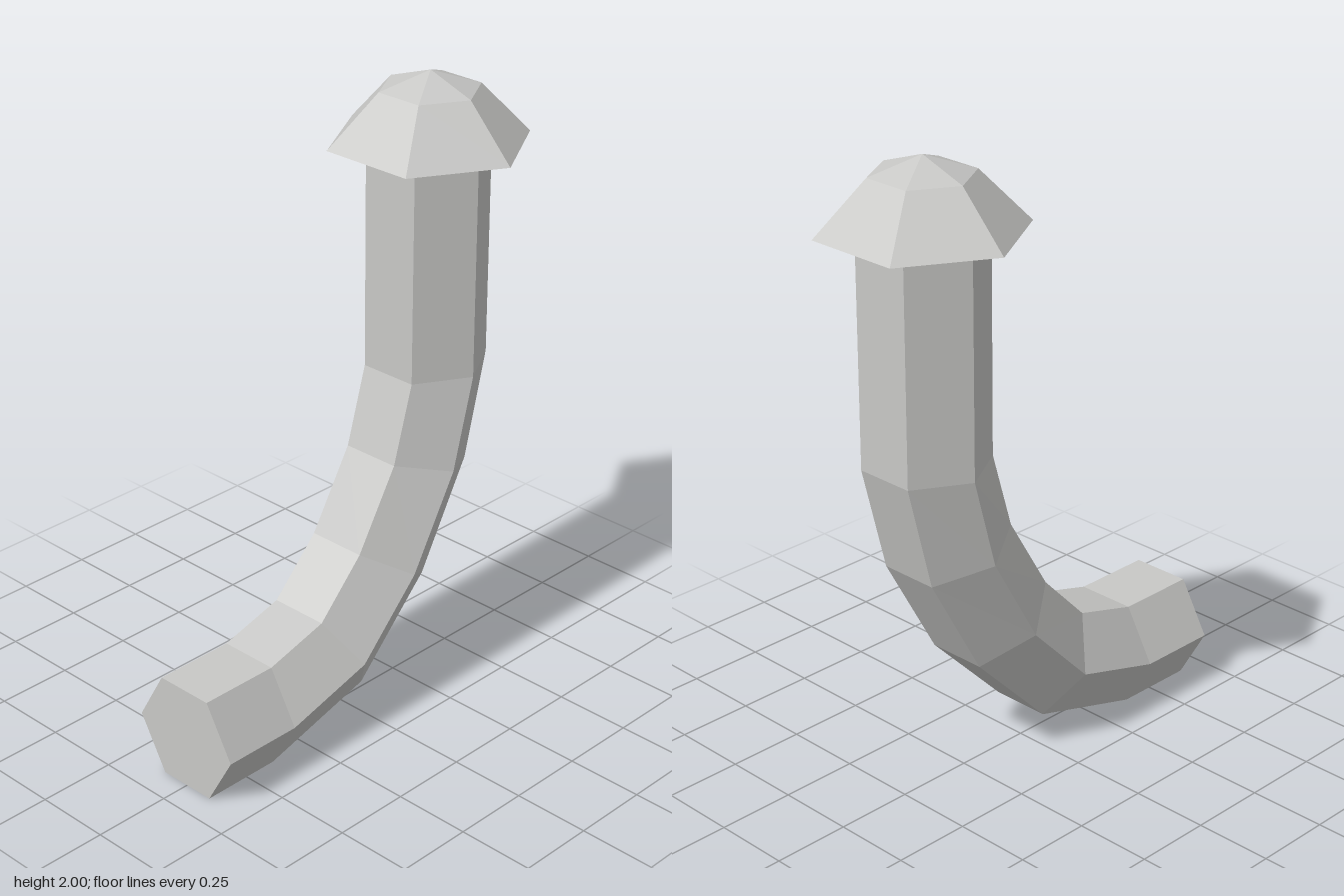
import * as THREE from 'three';

const metal = new THREE.MeshStandardMaterial({ color: 0xc8c8c6 });
metal.name = 'light grey metal';
const metalSheet = new THREE.MeshStandardMaterial({ color: 0xc8c8c6, side: THREE.DoubleSide });
metalSheet.name = 'light grey sheet metal';

const R = 0.195;        // pipe corner radius
const AXIS = 0.383;     // x of the vertical pipe
const PIPE_TOP = 1.755; // foot of the vent notches

// Flat-shaded mesh from a list of triangles and convex polygons
function facetMesh(name, polygons) {
  const pts = [];
  for (const p of polygons) {
    for (let i = 1; i < p.length - 1; i++) pts.push(p[0], p[i], p[i + 1]);
  }
  const geo = new THREE.BufferGeometry().setFromPoints(pts);
  geo.computeVertexNormals();
  const mesh = new THREE.Mesh(geo, metal);
  mesh.name = name;
  return mesh;
}

// Hexagonal pipe swept round the bend
function buildPipe() {
  // each station: outer x, y and inner x, y of the bend
  const stations = [
    [-0.655, 0, -0.655, 0.34],
    [-0.39, 0, -0.39, 0.34],
    [0, 0.11, -0.175, 0.4],
    [0.275, 0.39, -0.01, 0.57],
    [0.465, 0.73, 0.14, 0.82],
    [0.552, 1.07, 0.214, 1.07],
    [0.552, PIPE_TOP, 0.214, PIPE_TOP],
  ];
  const rings = stations.map(([ox, oy, ix, iy]) => {
    const ring = [];
    for (let k = 0; k < 6; k++) {
      const a = (k * Math.PI) / 3;
      const t = 0.5 + Math.sin(a) / Math.sqrt(3);
      ring.push(new THREE.Vector3(ox + (ix - ox) * t, oy + (iy - oy) * t, R * Math.cos(a)));
    }
    return ring;
  });
  const faces = [rings[0], [...rings[rings.length - 1]].reverse()];
  for (let i = 0; i < rings.length - 1; i++) {
    for (let k = 0; k < 6; k++) {
      const n = (k + 1) % 6;
      faces.push([rings[i][k], rings[i + 1][k], rings[i + 1][n], rings[i][n]]);
    }
  }
  return facetMesh('pipe', faces);
}

// Pointed prongs at the pipe corners, leaving V-shaped vents under the cap
function buildProngs() {
  const group = new THREE.Group();
  group.name = 'ventProngs';
  const corner = (k, r, y) => {
    const a = (k * Math.PI) / 3;
    return new THREE.Vector3(r * Math.sin(a), y, r * Math.cos(a));
  };
  const section = (r) => {
    const b = corner(0, r, PIPE_TOP);
    return {
      a: corner(-1, r, PIPE_TOP).lerp(b, 0.5),
      b,
      c: corner(1, r, PIPE_TOP).lerp(b, 0.5),
      t: corner(0, r, 1.907),
    };
  };
  const o = section(R);
  const n = section(R - 0.03);
  for (let k = 0; k < 6; k++) {
    const prong = facetMesh('prong', [
      [o.a, o.b, o.t], [o.b, o.c, o.t],       // outside
      [n.a, n.t, n.b], [n.b, n.t, n.c],       // inside
      [o.a, o.t, n.t, n.a], [o.c, n.c, n.t, o.t], // notch edges
    ]);
    prong.rotation.y = (k * Math.PI) / 3;
    group.add(prong);
  }
  group.position.x = AXIS;
  return group;
}

// Open six-sided rain cap
function buildCap() {
  const profile = [[0.315, 1.78], [0.158, 1.945], [0, 2]].map(([r, y]) => new THREE.Vector2(r, y));
  const geo = new THREE.LatheGeometry(profile, 6).toNonIndexed();
  geo.computeVertexNormals();
  const cap = new THREE.Mesh(geo, metalSheet);
  cap.name = 'rainCap';
  cap.position.x = AXIS;
  return cap;
}

export function createModel() {
  const model = new THREE.Group();
  model.name = 'ventPipe';
  model.add(buildPipe(), buildProngs(), buildCap());
  return model;
}
